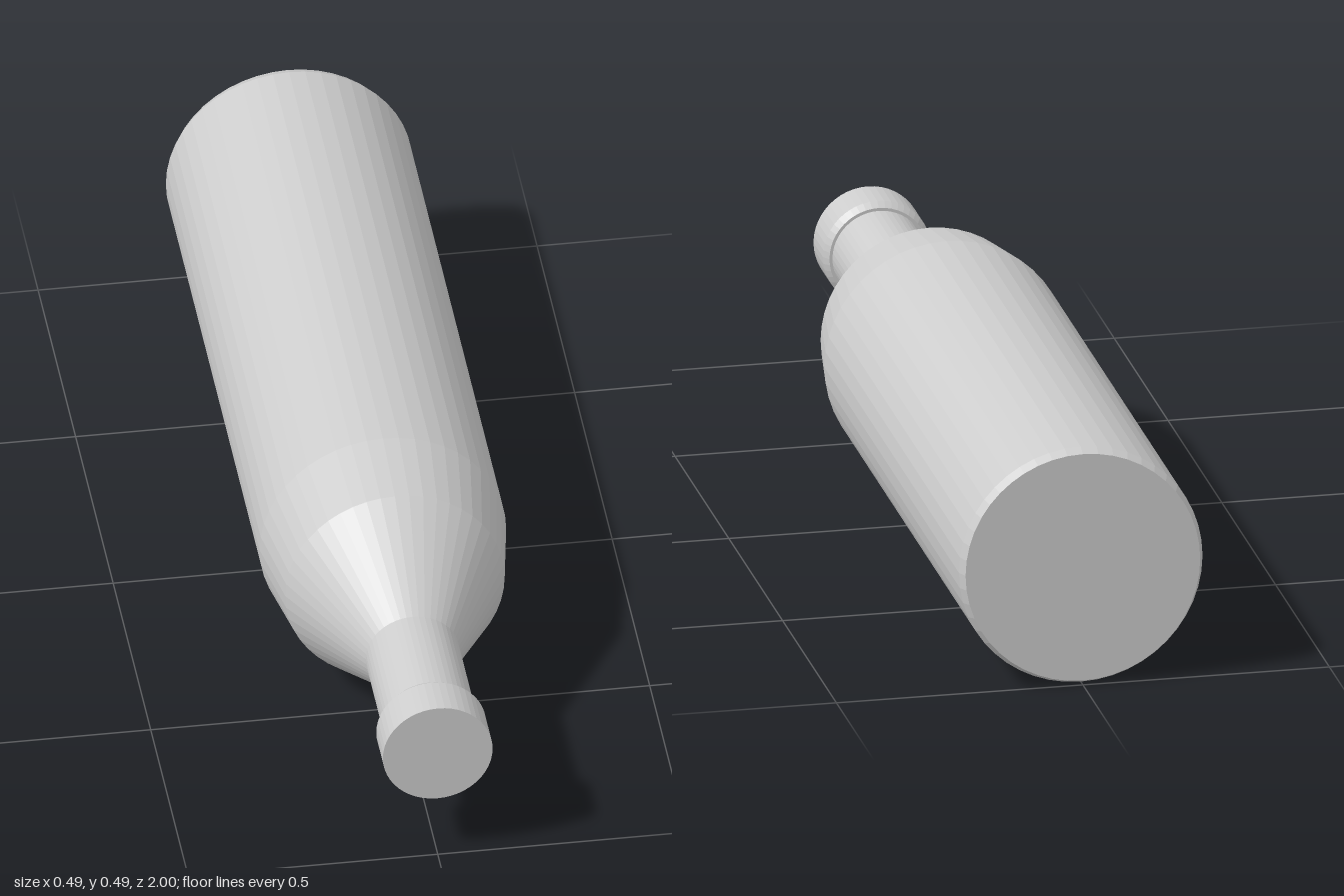
import * as THREE from 'three';

const SIDES = 48;
const AXIS_HEIGHT = 0.247;

export function createModel() {
  const model = new THREE.Group();
  model.name = 'bottle';

  const grey = new THREE.MeshStandardMaterial({ color: 0xcccccc, flatShading: true });
  grey.name = 'plain grey';

  // Each part is turned from [radius, z] points, running from back to front
  function turned(name, profile) {
    const points = profile.map(([r, z]) => new THREE.Vector2(r, z));
    const geometry = new THREE.LatheGeometry(points, SIDES);
    geometry.rotateX(Math.PI / 2);
    const mesh = new THREE.Mesh(geometry, grey);
    mesh.name = name;
    mesh.position.y = AXIS_HEIGHT;
    model.add(mesh);
  }

  // Flat base with a small bevel, then the straight body
  turned('body', [[0, -1], [0.238, -1], [0.247, -0.98], [0.247, 0.27]]);

  // Two-step taper down to the neck
  turned('shoulder', [[0.247, 0.27], [0.22, 0.43], [0.094, 0.665]]);

  turned('neck', [[0.094, 0.665], [0.094, 0.9]]);

  // Bevelled collar closed by a flat front
  turned('lip', [[0.094, 0.897], [0.1, 0.897], [0.11, 0.912], [0.11, 1], [0, 1]]);

  return model;
}
